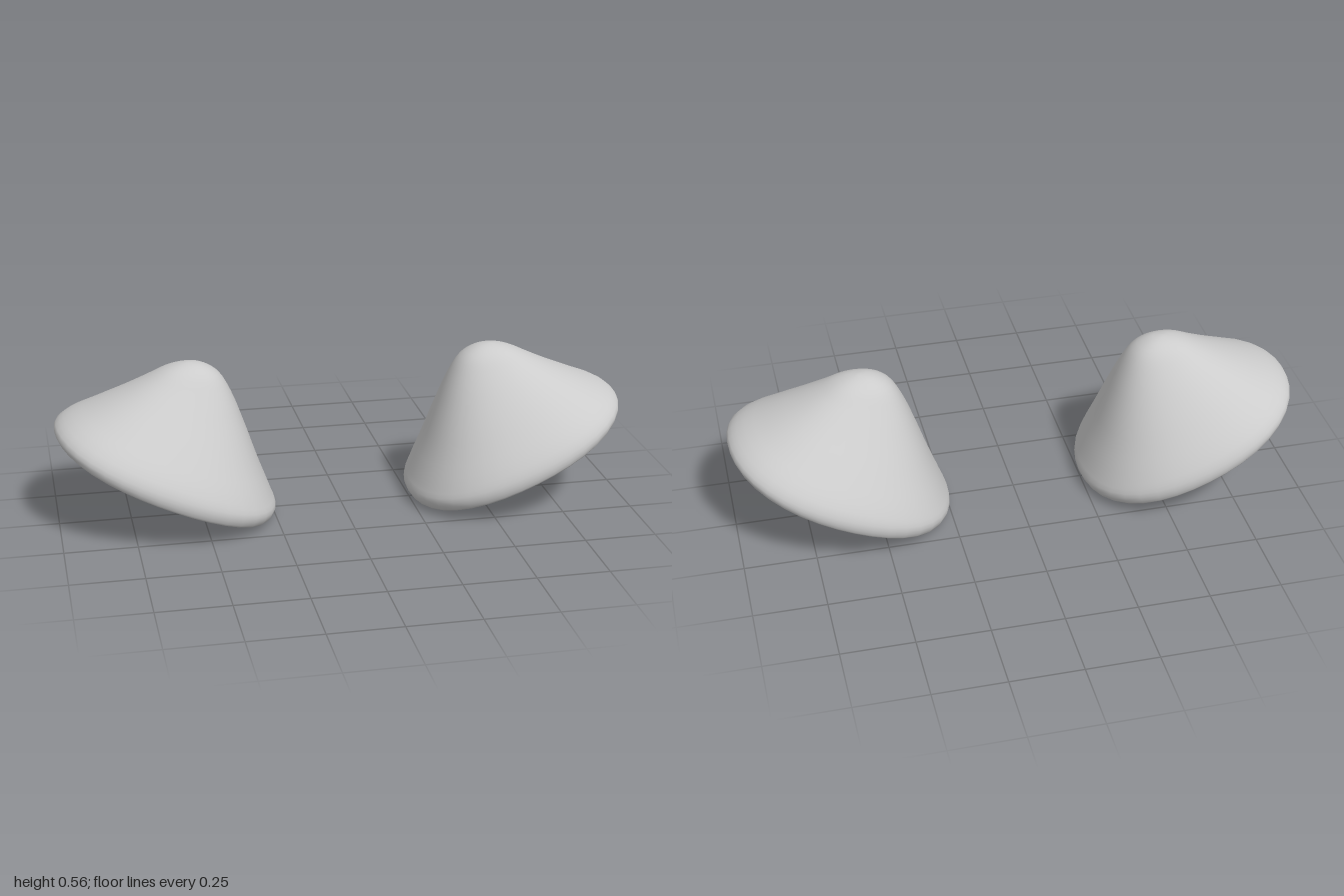
import * as THREE from 'three';
import { mergeVertices } from 'three/addons/utils/BufferGeometryUtils.js';

// Each ring: inner-edge x, y, outer-edge x, y, half depth in z.
// Order: outer tip, down the outer wall, round the lip, into the shallow dish.
const RINGS = [
  [0.535, 0.567, 0.535, 0.567, 0],
  [0.485, 0.558, 0.58, 0.56, 0.038],
  [0.43, 0.523, 0.625, 0.545, 0.078],
  [0.39, 0.455, 0.68, 0.518, 0.12],
  [0.345, 0.335, 0.76, 0.48, 0.188],
  [0.3, 0.2, 0.87, 0.433, 0.27],
  [0.258, 0.085, 0.965, 0.392, 0.333],
  [0.243, 0.035, 1.0, 0.358, 0.347],
  [0.268, 0.002, 0.985, 0.322, 0.337],
  [0.303, 0.041, 0.933, 0.323, 0.303],
  [0.387, 0.121, 0.817, 0.313, 0.208],
  [0.482, 0.196, 0.698, 0.292, 0.104],
  [0.586, 0.253, 0.586, 0.253, 0],
];
const SEGMENTS = 40;
const ROWS = 36;

// Tilted, dished cone; side is +1 for left and -1 for right.
function coneShell(side) {
  const inner = new THREE.CatmullRomCurve3(RINGS.map(r => new THREE.Vector3(r[0], r[1], r[4])));
  const outer = new THREE.CatmullRomCurve3(RINGS.map(r => new THREE.Vector3(r[2], r[3], r[4])));
  const positions = [];
  const indices = [];
  for (let i = 0; i <= ROWS; i++) {
    const a = inner.getPoint(i / ROWS);
    const b = outer.getPoint(i / ROWS);
    const depth = (a.z + b.z) / 2;
    for (let j = 0; j < SEGMENTS; j++) {
      const angle = (j / SEGMENTS) * Math.PI * 2;
      // The outline bulges a little at its diagonals
      const bulge = 1 + 0.04 * Math.sin(2 * angle) ** 2;
      const s = bulge * Math.sin(angle);
      const k = (1 + bulge * Math.cos(angle)) / 2;
      // The rim sags slightly at the front and back
      const sag = 0.01 * s * s * (depth / 0.347) ** 2;
      positions.push(
        side * (a.x + (b.x - a.x) * k),
        Math.max(0, a.y + (b.y - a.y) * k - sag),
        depth * s,
      );
      if (i === ROWS) continue;
      const p = i * SEGMENTS + j;
      const q = i * SEGMENTS + ((j + 1) % SEGMENTS);
      const r = p + SEGMENTS;
      const t = q + SEGMENTS;
      if (side > 0) indices.push(p, q, r, q, t, r);
      else indices.push(p, r, q, q, r, t);
    }
  }
  let geometry = new THREE.BufferGeometry();
  geometry.setAttribute('position', new THREE.Float32BufferAttribute(positions, 3));
  geometry.setIndex(indices);
  geometry = mergeVertices(geometry, 1e-5);
  geometry.computeVertexNormals();
  return geometry;
}

export function createModel() {
  const model = new THREE.Group();
  model.name = 'dishedConePair';
  const material = new THREE.MeshStandardMaterial({ color: 0xcccccc });
  for (const side of [1, -1]) {
    const cone = new THREE.Mesh(coneShell(side), material);
    cone.name = side > 0 ? 'leftCone' : 'rightCone';
    model.add(cone);
  }
  return model;
}
